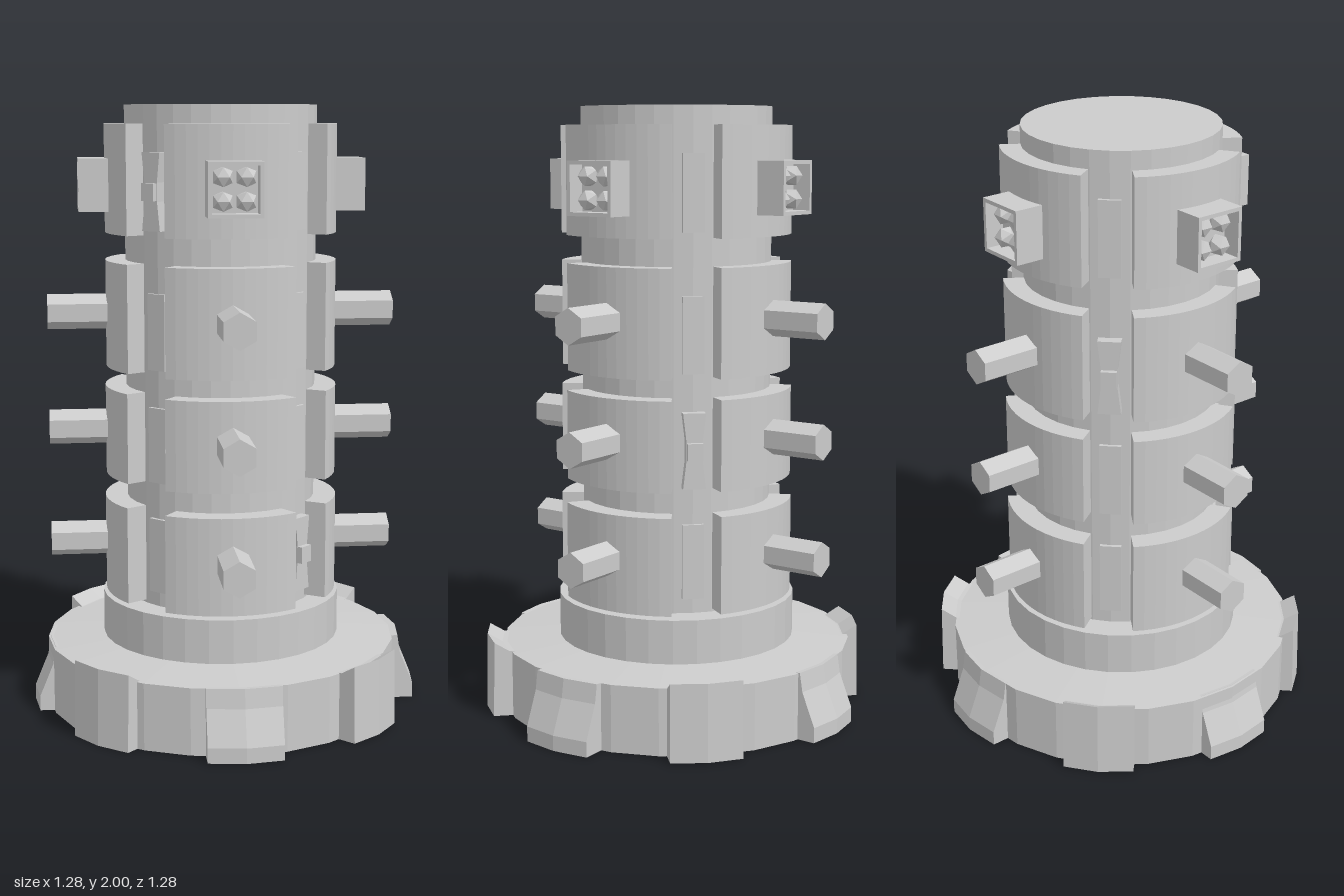
import * as THREE from 'three';

const material = new THREE.MeshStandardMaterial({ color: 0xcccccc, flatShading: true });

function add(parent, name, geometry, x = 0, y = 0, z = 0) {
  const mesh = new THREE.Mesh(geometry, material);
  mesh.name = name;
  mesh.position.set(x, y, z);
  parent.add(mesh);
  return mesh;
}

// Group turned so that its local +x points outward at the given angle
function spoke(parent, name, angle) {
  const g = new THREE.Group();
  g.name = name;
  g.rotation.y = angle;
  parent.add(g);
  return g;
}

function cylinder(radius, y0, y1, sides, topRadius = radius) {
  return new THREE.CylinderGeometry(topRadius, radius, y1 - y0, sides).translate(0, (y0 + y1) / 2, 0);
}

// Curved armour plate spanning one quadrant less the gap, centred on +x
function panelGeometry(inner, outer, y0, y1) {
  const half = Math.PI / 4 - 0.21;
  const shape = new THREE.Shape();
  shape.absarc(0, 0, outer, -half, half, false);
  shape.absarc(0, 0, inner, half, -half, true);
  shape.closePath();
  return new THREE.ExtrudeGeometry(shape, { depth: y1 - y0, bevelEnabled: false, curveSegments: 6 })
    .rotateX(-Math.PI / 2).translate(0, y0, 0);
}

// Base lug: radius/height profile swept sideways, outer face bent to follow the rim
function lugGeometry(profile, width) {
  const shape = new THREE.Shape(profile.map(p => new THREE.Vector2(...p)));
  const geo = new THREE.ExtrudeGeometry(shape, { depth: width, steps: 2, bevelEnabled: false })
    .translate(0, 0, -width / 2);
  const pos = geo.attributes.position;
  for (let i = 0; i < pos.count; i++) {
    pos.setX(i, pos.getX(i) - 0.016 * Math.abs(pos.getZ(i)) / (width / 2));
  }
  geo.computeVertexNormals();
  return geo;
}

// Waisted plate facing +x
function hourglassGeometry(height) {
  const h = height / 2;
  const shape = new THREE.Shape([
    [-0.037, -h], [0.037, -h], [0.026, -0.03], [0.026, 0.03],
    [0.037, h], [-0.037, h], [-0.026, 0.03], [-0.026, -0.03],
  ].map(p => new THREE.Vector2(...p)));
  return new THREE.ExtrudeGeometry(shape, { depth: 0.05, bevelEnabled: false })
    .rotateY(Math.PI / 2).translate(0.295, 0, 0);
}

// Open box with a recessed 2 x 2 cluster of faceted lamps
function addLampBox(parent, y) {
  const size = 0.17, wall = 0.012;
  add(parent, 'lampBoxBody', new THREE.BoxGeometry(0.1, size, size), 0.355, y, 0);
  for (const s of [-1, 1]) {
    const edge = s * (size - wall) / 2;
    add(parent, 'lampBoxRim', new THREE.BoxGeometry(0.062, wall, size), 0.435, y + edge, 0);
    add(parent, 'lampBoxSide', new THREE.BoxGeometry(0.062, size - 2 * wall, wall), 0.435, y, edge);
    for (const t of [-1, 1]) {
      add(parent, 'lamp', new THREE.IcosahedronGeometry(0.035, 0), 0.42, y + s * 0.037, t * 0.036);
    }
  }
}

export function createModel() {
  const model = new THREE.Group();
  model.name = 'column';

  // Column body on the stepped base
  const body = new THREE.Group();
  body.name = 'body';
  body.position.set(-0.008, 0, -0.012);
  model.add(body);
  add(body, 'baseDisc', cylinder(0.588, 0, 0.22, 24));
  add(body, 'baseTop', cylinder(0.588, 0.22, 0.235, 24, 0.4));
  add(body, 'collar', cylinder(0.398, 0.2, 0.38, 32));
  add(body, 'core', cylinder(0.314, 0.3, 2, 32));

  // Tiers from top to bottom; one side of each carries the waisted plate
  const tiers = [
    { y0: 1.59, y1: 1.94, radius: 0.38, plate: 1.73, special: 2 },
    { y0: 1.15, y1: 1.5, radius: 0.38, plate: 1.285, peg: 1.33, special: 1 },
    { y0: 0.79, y1: 1.085, radius: 0.384, plate: 0.918, peg: 0.945, special: 0 },
    { y0: 0.39, y1: 0.71, radius: 0.388, plate: 0.552, peg: 0.563, special: 3 },
  ];
  tiers.forEach((tier, index) => {
    for (let side = 0; side < 4; side++) {
      // Armour panel with its peg or lamp box on the diagonal
      const panel = spoke(body, `tier${index + 1}Panel`, Math.PI / 4 + side * Math.PI / 2);
      add(panel, 'panel', panelGeometry(0.3, tier.radius, tier.y0, tier.y1));
      if (tier.peg) {
        const peg = new THREE.CylinderGeometry(0.058, 0.058, 0.25, 6)
          .rotateY(Math.PI / 2).rotateZ(-Math.PI / 2);
        add(panel, 'peg', peg, 0.447, tier.peg, 0);
      } else {
        addLampBox(panel, 1.745);
      }

      // Narrow plate in the gap between panels
      const gap = spoke(body, `tier${index + 1}Gap`, side * Math.PI / 2);
      if (side === tier.special) {
        add(gap, 'waistedPlate', hourglassGeometry(0.245), 0, tier.plate, 0);
        add(gap, 'plateStud', new THREE.BoxGeometry(0.05, 0.055, 0.05), 0.337, tier.plate, 0);
      } else {
        add(gap, 'plate', new THREE.BoxGeometry(0.04, 0.245, 0.07), 0.304, tier.plate, 0);
      }
    }
  });

  // Upright lugs on the four sides, flared feet on the diagonals
  const upright = lugGeometry([[0.5, 0], [0.64, 0], [0.634, 0.252], [0.585, 0.222], [0.5, 0.215]], 0.23);
  const flared = lugGeometry([[0.5, 0], [0.65, 0], [0.65, 0.05], [0.605, 0.16], [0.595, 0.222], [0.5, 0.215]], 0.24);
  for (let i = 0; i < 8; i++) {
    const lug = spoke(model, 'baseLug', i * Math.PI / 4);
    add(lug, i % 2 ? 'flaredLug' : 'uprightLug', i % 2 ? flared : upright);
  }
  return model;
}
